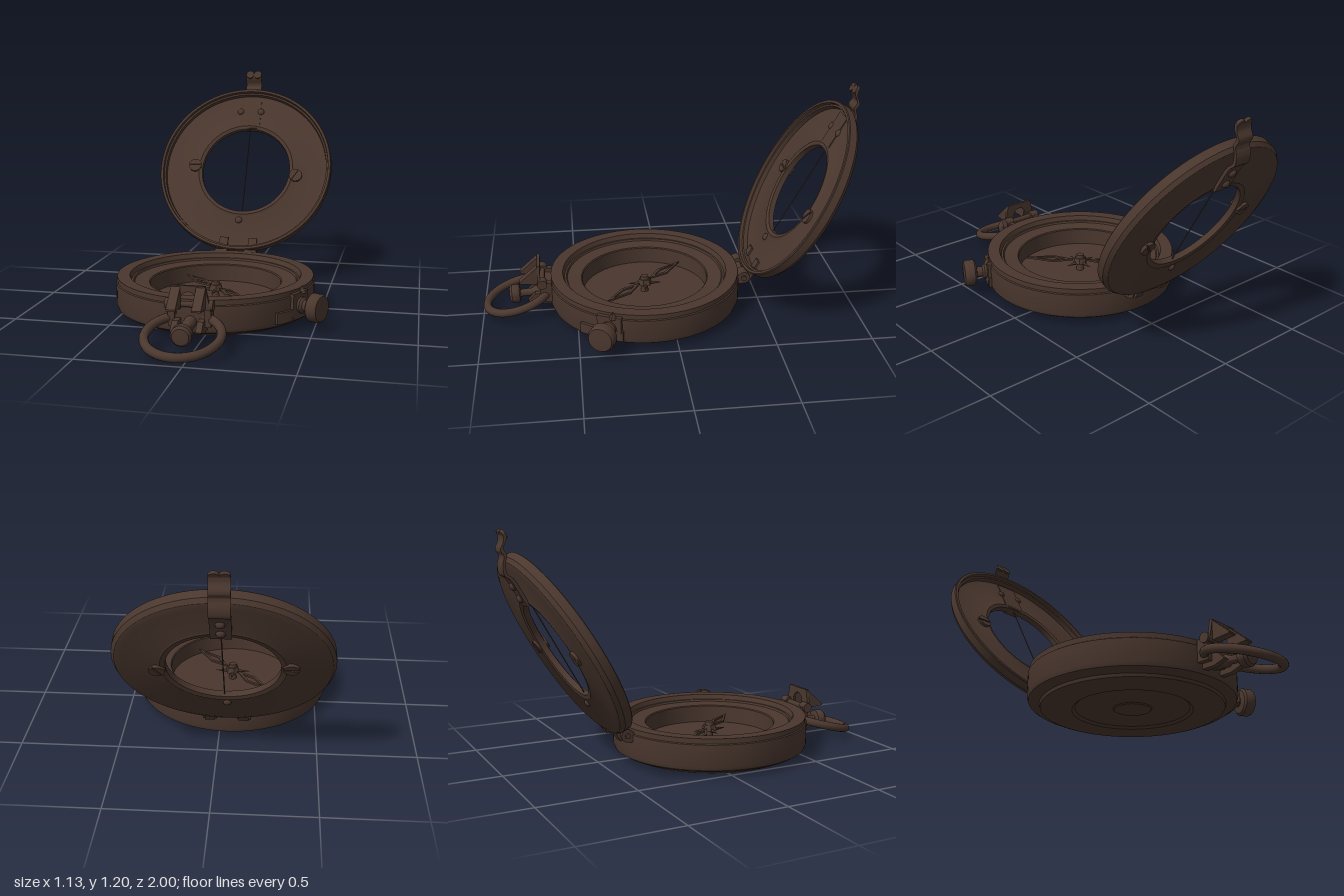
import * as THREE from 'three';
import { toCreasedNormals } from 'three/addons/utils/BufferGeometryUtils.js';

const bronze = new THREE.MeshStandardMaterial({ color: 0x4a372e });
bronze.name = 'dark bronze';

function add(parent, name, geo, x = 0, y = 0, z = 0) {
  const m = new THREE.Mesh(geo, bronze);
  m.name = name;
  m.position.set(x, y, z);
  parent.add(m);
  return m;
}
function group(parent, name, x = 0, y = 0, z = 0) {
  const g = new THREE.Group();
  g.name = name;
  g.position.set(x, y, z);
  parent.add(g);
  return g;
}
const v2 = (pts) => pts.map(([x, y]) => new THREE.Vector2(x, y));
const box = (x, y, z) => new THREE.BoxGeometry(x, y, z);
const lathe = (pts, seg = 64) => toCreasedNormals(new THREE.LatheGeometry(v2(pts), seg), 0.6);
const rodX = (r, len) => new THREE.CylinderGeometry(r, r, len, 20).rotateZ(Math.PI / 2);
const rodZ = (r, len) => new THREE.CylinderGeometry(r, r, len, 20).rotateX(Math.PI / 2);

// Side profile given as [z, y], extruded across x and centred
function sideProfile(pts, width) {
  const g = new THREE.ExtrudeGeometry(new THREE.Shape(v2(pts)), { depth: width, bevelEnabled: false });
  return g.rotateY(-Math.PI / 2).translate(width / 2, 0, 0);
}
// Bent metal strip following a smooth [z, y] path
function strip(path, thick, width) {
  const pts = new THREE.SplineCurve(v2(path)).getPoints(30);
  const a = pts.map((p) => [p.x + thick / 2, p.y]);
  const b = pts.map((p) => [p.x - thick / 2, p.y]).reverse();
  return toCreasedNormals(sideProfile([...a, ...b], width), 0.6);
}
// Domed stud pointing along +z
const stud = (r, h) => new THREE.SphereGeometry(r, 16, 8, 0, Math.PI * 2, 0, Math.PI / 2)
  .scale(1, h / r, 1).rotateX(Math.PI / 2);

function buildCase(parent) {
  const g = group(parent, 'case', -0.045, 0, 0.125);
  // Shell: underside recess, foot, rounded wall, rim, stepped bezel and dial floor
  add(g, 'caseShell', lathe([
    [0, 0.008], [0.09, 0.008], [0.095, 0.014], [0.28, 0.014], [0.295, 0.003], [0.43, 0.003],
    [0.45, 0.01], [0.455, 0.025], [0.49, 0.028], [0.508, 0.04], [0.515, 0.06], [0.515, 0.17],
    [0.509, 0.174], [0.509, 0.2], [0.445, 0.2], [0.435, 0.175], [0.425, 0.175], [0.42, 0.165],
    [0.345, 0.16], [0.34, 0.155], [0.34, 0.065], [0, 0.065],
  ], 80));

  // Needle with two hollow diamond arms on a faceted hub
  const needle = group(g, 'needle', 0, 0.115, 0);
  needle.rotation.y = -0.81;
  for (const s of [1, -1]) {
    const arm = new THREE.Shape(v2([[0.04, 0], [0.15, -0.034], [0.3, 0], [0.15, 0.034]]));
    arm.holes.push(new THREE.Path(v2([[0.085, 0], [0.152, 0.019], [0.255, 0], [0.152, -0.019]])));
    const geo = new THREE.ExtrudeGeometry(arm, { depth: 0.01, bevelEnabled: false }).rotateX(-Math.PI / 2);
    add(needle, 'needleArm', geo).rotation.y = s > 0 ? 0 : Math.PI;
  }
  const hub = toCreasedNormals(new THREE.CylinderGeometry(0.032, 0.042, 0.03, 6), 0.3);
  add(needle, 'needleHub', hub, 0, 0.008, 0);
  add(needle, 'hubCap', new THREE.CylinderGeometry(0.02, 0.024, 0.02, 20), 0, 0.03, 0);
  add(needle, 'pivotPost', new THREE.CylinderGeometry(0.014, 0.022, 0.06, 16), 0, -0.025, 0);
  for (let i = 0; i < 4; i++) {
    const spike = new THREE.ConeGeometry(0.012, 0.07, 4).rotateZ(-Math.PI / 2).translate(0.06, 0, 0);
    add(needle, 'hubSpike', spike, 0, -0.005, 0).rotation.y = Math.PI / 4 + i * Math.PI / 2;
  }

  // Side brake: curved lever plate and turned knob
  const plate = new THREE.Shape();
  plate.absarc(0, 0, 0.53, 0.3, 0.76, false);
  plate.absarc(0, 0, 0.505, 0.76, 0.3, true);
  add(g, 'brakeLever', new THREE.ExtrudeGeometry(plate, { depth: 0.055, bevelEnabled: false, curveSegments: 10 })
    .rotateX(Math.PI / 2), 0, 0.11, 0);
  const brake = group(g, 'brakeKnob', 0, 0.12, 0);
  brake.rotation.y = -0.44;
  add(brake, 'brakePlate', box(0.025, 0.13, 0.13), 0.515, 0, 0);
  add(brake, 'brakeTab', toCreasedNormals(new THREE.ConeGeometry(0.025, 0.04, 4), 0.3), 0.52, 0.075, -0.02);
  add(brake, 'knob', lathe([
    [0, 0.5], [0.04, 0.5], [0.04, 0.54], [0.028, 0.55], [0.028, 0.58], [0.06, 0.585],
    [0.07, 0.595], [0.07, 0.635], [0.062, 0.648], [0, 0.652],
  ], 32).rotateZ(-Math.PI / 2));
}

function buildLid(parent) {
  const g = group(parent, 'lid', -0.045, 0.648, -0.665);
  g.rotation.x = -0.518;
  // Ring shell, recessed on the inside, rounded on the back
  add(g, 'lidShell', lathe([
    [0.265, -0.075], [0.29, -0.08], [0.3, -0.075], [0.47, -0.075], [0.5, -0.065], [0.515, -0.045],
    [0.515, -0.004], [0.511, 0], [0.497, 0], [0.495, -0.018], [0.485, -0.02], [0.483, -0.045],
    [0.3, -0.045], [0.285, -0.038], [0.265, -0.044], [0.265, -0.075],
  ], 80).rotateX(Math.PI / 2));
  add(g, 'sightWire', new THREE.CylinderGeometry(0.003, 0.003, 0.55, 8), 0.002, 0, -0.06);

  // Window screws, showing on both faces
  for (const [x, y, tilt] of [[-0.31, 0.016, 0], [0.305, -0.03, 1]]) {
    const s = group(g, 'windowScrew', x, y, -0.06);
    s.rotation.z = tilt;
    add(s, 'screwShank', rodZ(0.038, 0.045));
    for (const side of [1, -1]) {
      const head = group(s, 'screwHead');
      if (side < 0) head.rotation.y = Math.PI;
      for (const half of [0, Math.PI]) {
        const c = new THREE.Shape();
        c.absarc(0, 0, 0.038, 0.12, Math.PI - 0.12, false);
        add(head, 'screwHalf', new THREE.ExtrudeGeometry(c, { depth: 0.008, bevelEnabled: false }), 0, 0, 0.022)
          .rotation.z = half;
      }
    }
  }
  // Inner plate with rivets
  add(g, 'innerPlate', box(0.122, 0.2, 0.006), -0.002, 0.37, -0.043);
  for (const x of [-0.065, 0.06]) add(g, 'plateRivet', stud(0.02, 0.014), x, 0.38, -0.043);
  add(g, 'lowerRivet', stud(0.02, 0.014), -0.01, -0.32, -0.045);
  add(g, 'lowerRivetBack', stud(0.02, 0.014), -0.01, -0.32, -0.075).rotation.y = Math.PI;

  // Wavy sight tongue over the rim, ending in two rounded lobes
  add(g, 'sightTongue', strip([
    [-0.084, 0.27], [-0.085, 0.41], [-0.1, 0.455], [-0.082, 0.5], [-0.056, 0.53],
    [-0.055, 0.565], [-0.022, 0.593], [-0.008, 0.62],
  ], 0.016, 0.095));
  for (const x of [-0.0235, 0.0235]) add(g, 'tongueLobe', rodZ(0.024, 0.016), x, 0.616, -0.01);
  for (const y of [0.31, 0.38]) add(g, 'tongueRivet', stud(0.022, 0.018), 0, y, -0.09).rotation.y = Math.PI;
}

function buildHinge(parent) {
  const g = group(parent, 'hinge', -0.045, 0.17, -0.405);
  add(g, 'hingePin', rodX(0.014, 0.26));
  for (const s of [1, -1]) {
    add(g, 'hingeBarrel', rodX(0.033, 0.07), s * 0.085, 0, 0);
    add(g, 'hingeLeaf', box(0.07, 0.05, 0.05), s * 0.085, -0.01, 0.03);
    const arm = add(g, 'hingeArm', box(0.05, 0.12, 0.018), s * 0.085, 0.03, -0.055);
    arm.rotation.x = -0.518;
  }
}

function buildFrontSight(parent) {
  const g = group(parent, 'frontSight', -0.045, 0, 0);
  // Sloped cheeks and arched back plate
  const plate = new THREE.Shape(v2([[-0.105, 0.17], [-0.04, 0.17], [-0.04, 0.215]]));
  plate.absarc(0, 0.215, 0.04, Math.PI, 0, true);
  [[0.04, 0.17], [0.105, 0.17], [0.08, 0.285], [-0.08, 0.285]].forEach(([x, y]) => plate.lineTo(x, y));
  plate.closePath();
  add(g, 'sightPlate', new THREE.ExtrudeGeometry(plate, { depth: 0.015, bevelEnabled: false }), 0, 0, 0.69);
  for (const s of [1, -1]) {
    add(g, 'sightCheek', sideProfile([[0.7, 0.18], [0.8, 0.187], [0.8, 0.195], [0.7, 0.283]], 0.045), s * 0.06, 0, 0);
    add(g, 'sightBarrel', rodX(0.026, 0.05), s * 0.09, 0.19, 0.68);
    add(g, 'sightPost', box(0.032, 0.11, 0.06), s * 0.087, 0.14, 0.66);
    add(g, 'ringLug', sideProfile([[0.63, 0.06], [0.7, 0.06], [0.76, 0.08], [0.72, 0.12], [0.63, 0.12]], 0.03), s * 0.06, 0, 0);
  }
  add(g, 'sightPin', rodX(0.014, 0.22), 0, 0.19, 0.68);
  add(g, 'mountBlock', box(0.13, 0.09, 0.05), 0, 0.13, 0.645);

  // Clamp knob on a short stem
  add(g, 'clampKnob', lathe([
    [0, 0], [0.03, 0], [0.03, 0.09], [0.02, 0.11], [0.02, 0.17], [0.045, 0.175],
    [0.05, 0.185], [0.05, 0.215], [0.04, 0.228], [0, 0.232],
  ], 32).rotateX(Math.PI / 2 + 0.08), 0, 0.105, 0.63);

  // Carrying ring
  const ring = add(g, 'carryingRing', new THREE.TorusGeometry(0.177, 0.022, 14, 56).rotateX(Math.PI / 2), 0, 0.082, 0.81);
  ring.rotation.x = 0.26;
}

export function createModel() {
  const model = new THREE.Group();
  model.name = 'pocketCompass';
  buildCase(model);
  buildLid(model);
  buildHinge(model);
  buildFrontSight(model);
  return model;
}
